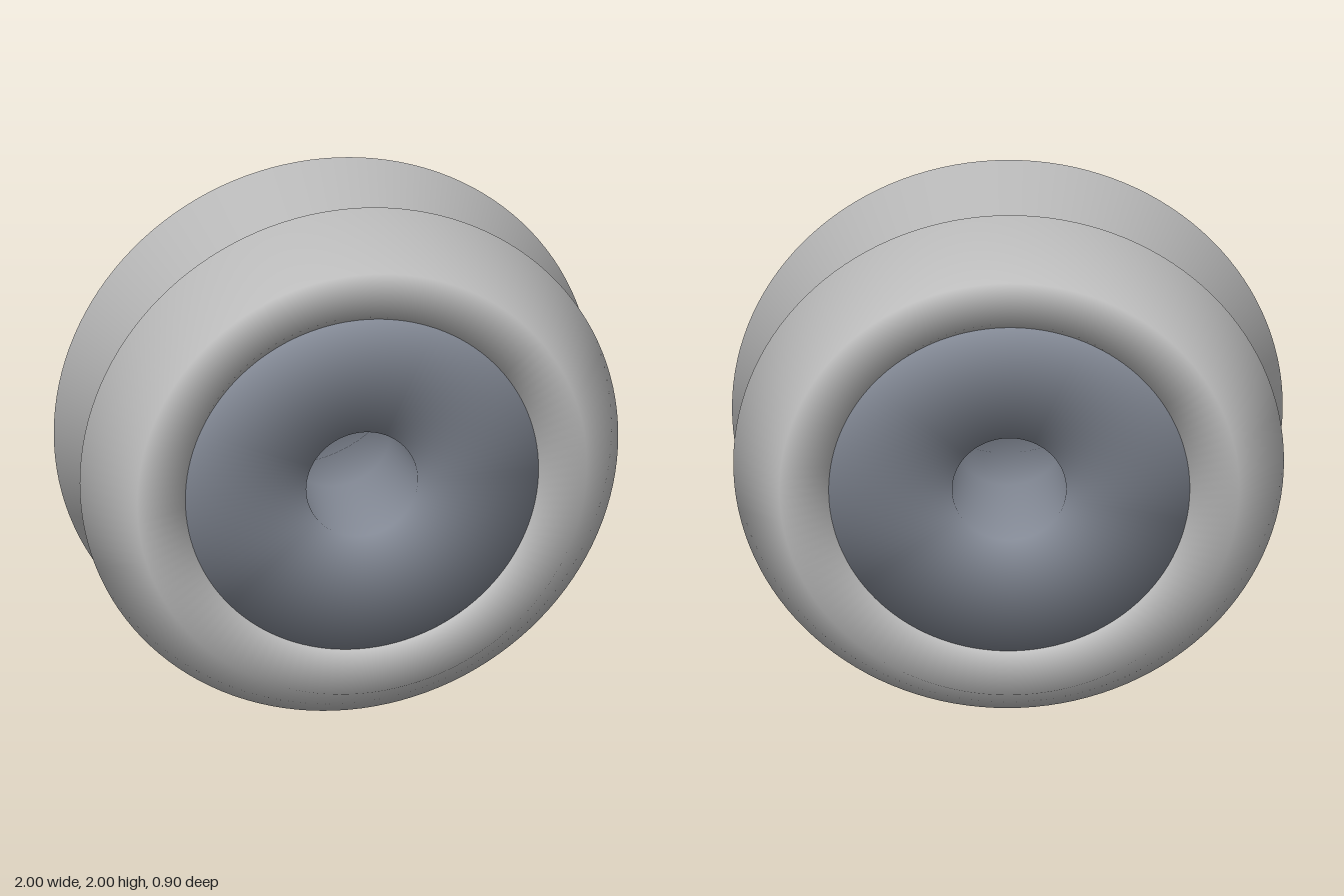
import * as THREE from 'three';

// Closed profiles as [radius, depth], counter-clockwise, smooth all round.
const HALF = 0.45, HOLE = 0.207, SEAT = 0.656, GROOVE = 0.835;

function ring(name, profile, material) {
  const points = profile.map(([r, d]) => new THREE.Vector2(r, d));
  const geometry = new THREE.LatheGeometry(points, 128);
  geometry.rotateX(Math.PI / 2); // axle along z
  const mesh = new THREE.Mesh(geometry, material);
  mesh.name = name;
  mesh.position.y = 1;
  return mesh;
}

export function createModel() {
  const rimGrey = new THREE.MeshStandardMaterial({ color: 0xc0c0c0 });
  rimGrey.name = 'light grey';
  const hubGrey = new THREE.MeshStandardMaterial({ color: 0x828894 });
  hubGrey.name = 'blue grey';

  const model = new THREE.Group();
  model.name = 'groovedWheel';

  // Outer ring with two ridges and a V groove between them
  model.add(ring('doubleRidgeRim', [
    [SEAT, 0], [SEAT, -HALF], [GROOVE, -HALF], [1, -HALF / 2],
    [GROOVE, 0],
    [1, HALF / 2], [GROOVE, HALF], [SEAT, HALF], [SEAT, 0],
  ], rimGrey));

  // Flat-faced hub with an open axle hole
  model.add(ring('hub', [
    [HOLE, 0], [HOLE, -HALF], [SEAT, -HALF], [SEAT, HALF], [HOLE, HALF], [HOLE, 0],
  ], hubGrey));

  return model;
}
